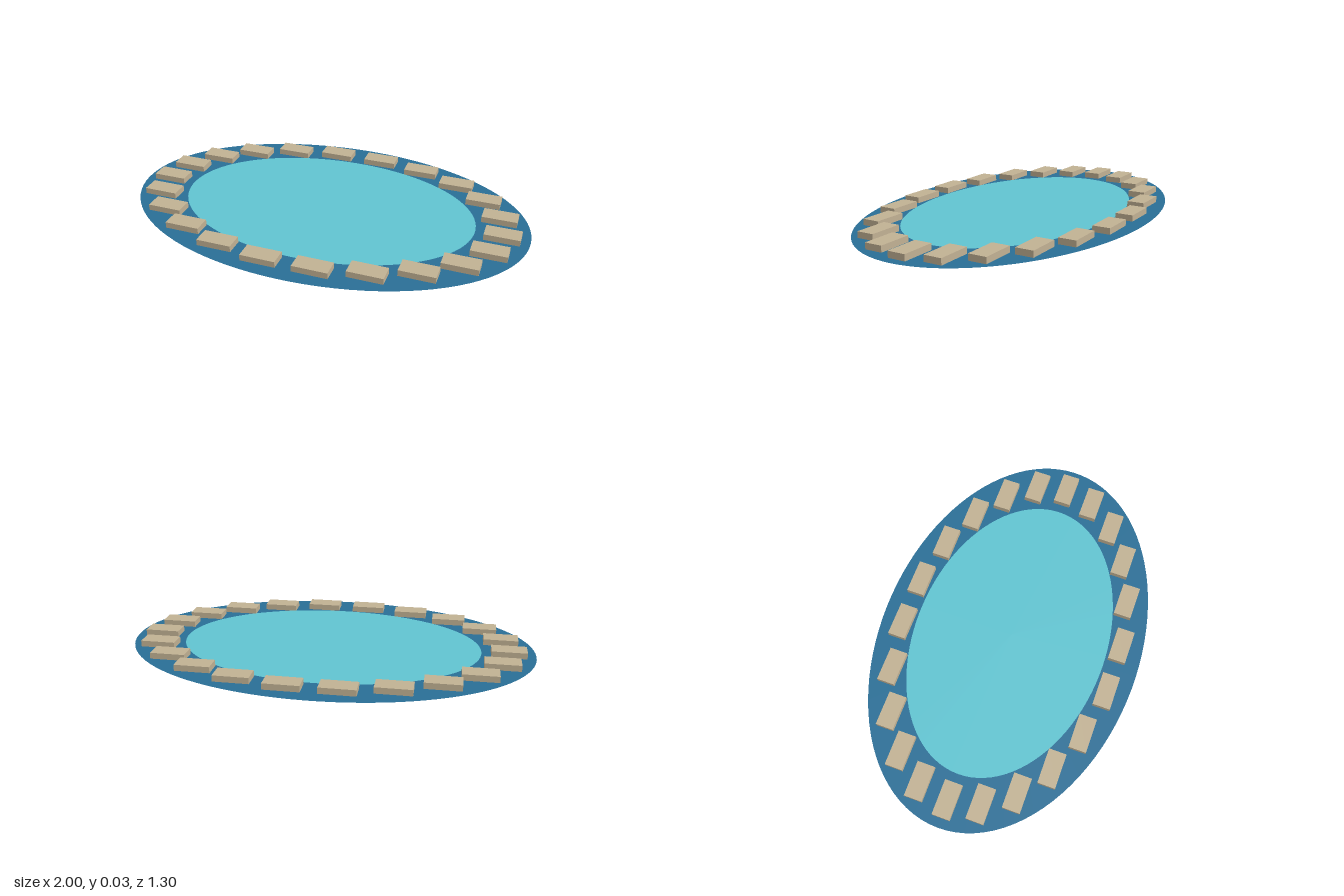
import * as THREE from 'three';

// Flat elliptical sheet lying in the ground plane
function ellipseSheet(name, rx, rz, y, color) {
  const geometry = new THREE.CircleGeometry(1, 96);
  geometry.rotateX(-Math.PI / 2);
  geometry.scale(rx, 1, rz);
  const material = new THREE.MeshStandardMaterial({ color, side: THREE.DoubleSide });
  const mesh = new THREE.Mesh(geometry, material);
  mesh.name = name;
  mesh.position.y = y;
  return mesh;
}

export function createModel() {
  const model = new THREE.Group();
  model.name = 'pond';

  // Deep water and the lighter pool in its middle
  model.add(ellipseSheet('deepWater', 1, 0.65, 0.003, 0x2a6f97));
  model.add(ellipseSheet('shallowWater', 0.74, 0.48, 0.006, 0x61c5d2));

  // Ring of edging stones, all aligned with the axes
  const stones = new THREE.Group();
  stones.name = 'edgingStones';
  const stoneGeometry = new THREE.BoxGeometry(0.17, 0.033, 0.087);
  const stoneMaterial = new THREE.MeshStandardMaterial({ color: 0xc2b294 });
  const count = 22;
  for (let i = 0; i < count; i++) {
    const angle = (i / count) * Math.PI * 2;
    const stone = new THREE.Mesh(stoneGeometry, stoneMaterial);
    stone.name = `edgingStone${i + 1}`;
    stone.position.set(0.87 * Math.cos(angle), 0.0165, 0.54 * Math.sin(angle));
    stones.add(stone);
  }
  model.add(stones);

  return model;
}
